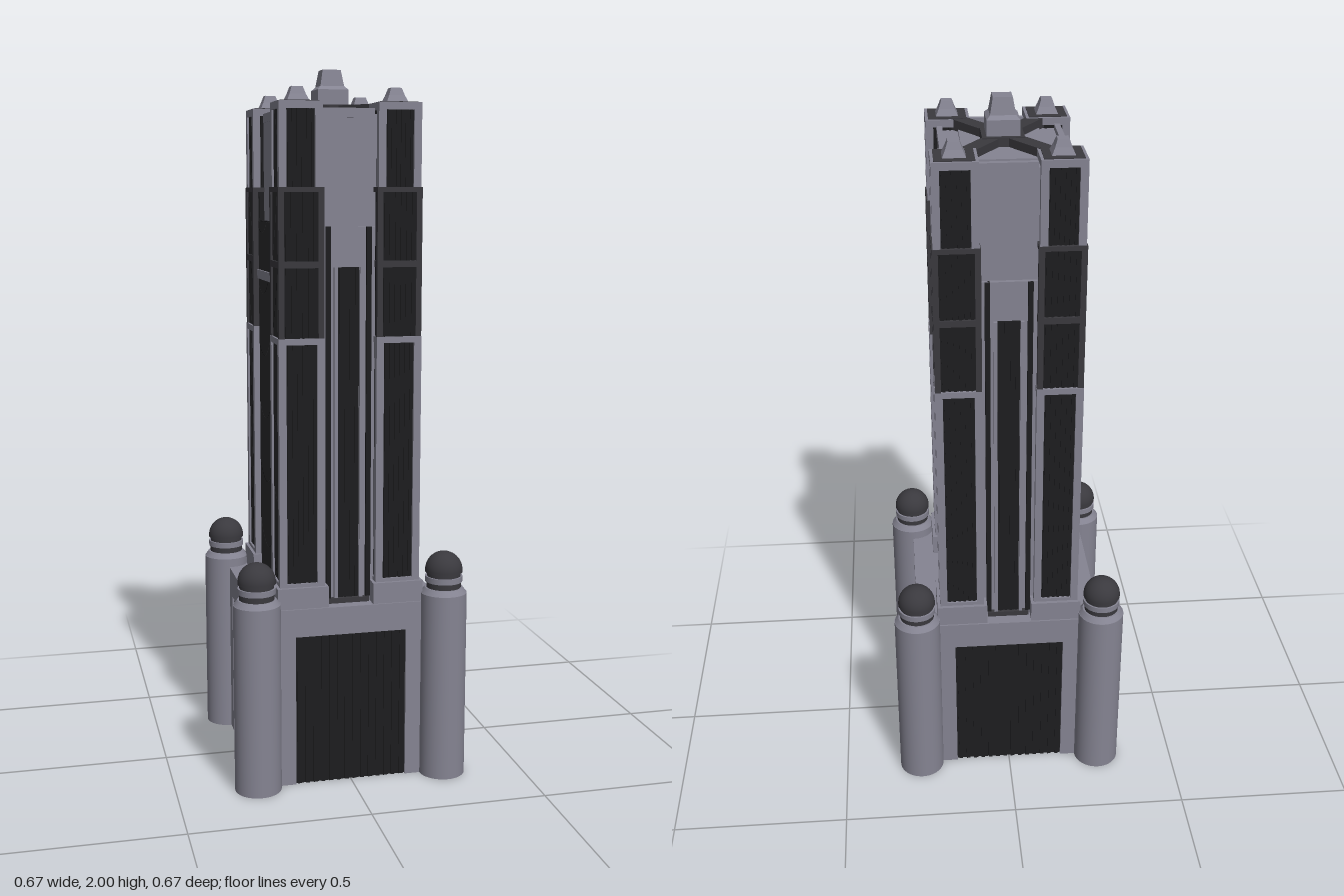
import * as THREE from 'three';

const stone = new THREE.MeshStandardMaterial({ color: 0x858492 });
const dark = new THREE.MeshStandardMaterial({ color: 0x3a393e });
const black = new THREE.MeshStandardMaterial({ color: 0x1d1d1f });
const smoothDark = new THREE.MeshStandardMaterial({ color: 0x3a393e });

function add(parent, name, geometry, material, x = 0, y = 0, z = 0) {
  const mesh = new THREE.Mesh(geometry, material);
  mesh.name = name;
  mesh.position.set(x, y, z);
  parent.add(mesh);
  return mesh;
}

// Box given by its centre in plan and its bottom and top heights
function block(parent, name, mat, w, d, y0, y1, x = 0, z = 0) {
  return add(parent, name, new THREE.BoxGeometry(w, y1 - y0, d), mat, x, (y0 + y1) / 2, z);
}

// Square frustum, half widths r0 (bottom) and r1 (top)
function frustum(parent, name, mat, r0, r1, y0, y1, x = 0, z = 0) {
  const g = new THREE.CylinderGeometry(r1 * Math.SQRT2, r0 * Math.SQRT2, y1 - y0, 4).toNonIndexed();
  g.rotateY(Math.PI / 4);
  g.computeVertexNormals();
  return add(parent, name, g, mat, x, (y0 + y1) / 2, z);
}

// Vertical ribs on a wall facing +z, centred on x = 0
function ribs(parent, w, y0, y1, z, n) {
  const pitch = w / n;
  for (let i = 0; i < n; i++)
    block(parent, 'rib', black, pitch * 0.5, 0.006, y0, y1, (i + 0.5) * pitch - w / 2, z);
}

// Ribbed dark shaft inside corner posts and rails
function framedTier(parent, name, mat, w, d, y0, y1, x, z, post, rails) {
  const tier = new THREE.Group();
  tier.name = name;
  tier.position.set(x, 0, z);
  parent.add(tier);
  block(tier, 'darkInfill', black, w - 0.016, d - 0.016, y0, y1 - 0.004);
  for (const sx of [-1, 1]) for (const sz of [-1, 1])
    block(tier, 'cornerPost', mat, post, post, y0, y1, sx * (w - post) / 2, sz * (d - post) / 2);
  for (const [a, b] of rails) {
    for (const s of [-1, 1]) {
      block(tier, 'rail', mat, w - 2 * post, 0.014, a, b, 0, s * (d / 2 - 0.007));
      block(tier, 'rail', mat, 0.014, d - 2 * post, a, b, s * (w / 2 - 0.007), 0);
    }
  }
  for (let k = 0; k < 4; k++) {
    const side = new THREE.Group();
    side.rotation.y = k * Math.PI / 2;
    side.name = 'ribbedSide';
    tier.add(side);
    const wide = k % 2 ? d : w, deep = k % 2 ? w : d;
    ribs(side, wide - 2 * post, y0, y1 - 0.006, deep / 2 - 0.008, 6);
  }
}

function createBase() {
  const base = new THREE.Group();
  base.name = 'base';
  block(base, 'darkCore', black, 0.522, 0.522, 0, 0.44);
  block(base, 'lintelSlab', stone, 0.54, 0.54, 0.435, 0.515);
  for (const sx of [-1, 1]) for (const sz of [-1, 1])
    block(base, 'cornerBlock', stone, 0.11, 0.11, 0, 0.435, sx * 0.215, sz * 0.215);
  for (let k = 0; k < 4; k++) {
    const side = new THREE.Group();
    side.name = 'ribbedPanel';
    side.rotation.y = k * Math.PI / 2;
    base.add(side);
    ribs(side, 0.32, 0, 0.435, 0.262, 14);
  }
  return base;
}

// Round corner column with neck, ring and dome
function createColumn(x, z) {
  const column = new THREE.Group();
  column.name = 'cornerColumn';
  column.position.set(x, 0, z);
  add(column, 'shaft', new THREE.CylinderGeometry(0.066, 0.066, 0.54, 40), stone, 0, 0.27, 0);
  add(column, 'shoulder', new THREE.CylinderGeometry(0.054, 0.065, 0.015, 40), stone, 0, 0.5475, 0);
  add(column, 'lowerNeck', new THREE.CylinderGeometry(0.049, 0.049, 0.02, 40), dark, 0, 0.563, 0);
  add(column, 'ring', new THREE.CylinderGeometry(0.053, 0.053, 0.016, 40), stone, 0, 0.58, 0);
  add(column, 'upperNeck', new THREE.CylinderGeometry(0.048, 0.048, 0.015, 40), dark, 0, 0.595, 0);
  const dome = new THREE.SphereGeometry(0.053, 40, 14, 0, Math.PI * 2, 0, Math.PI / 2);
  add(column, 'dome', dome, smoothDark, 0, 0.605, 0);
  add(column, 'domeBase', new THREE.CylinderGeometry(0.053, 0.053, 0.006, 40), dark, 0, 0.602, 0);
  return column;
}

// Corner pier in three tiers, with roof and finial
function createPier(sx, sz) {
  const pier = new THREE.Group();
  pier.name = 'cornerPier';
  const x = sx * 0.137, z = sz * 0.191;
  block(pier, 'plinth', stone, 0.145, 0.148, 0.515, 0.575, x, z);
  framedTier(pier, 'lowerTier', stone, 0.128, 0.128, 0.575, 1.27, x, z, 0.021, [[1.253, 1.27], [0.575, 0.585]]);
  framedTier(pier, 'middleTier', dark, 0.126, 0.126, 1.27, 1.675, x, z, 0.016, [[1.46, 1.478], [1.662, 1.675]]);
  framedTier(pier, 'upperTier', stone, 0.12, 0.12, 1.675, 1.9, x, z, 0.021, [[1.88, 1.9]]);
  block(pier, 'pierRoof', dark, 0.104, 0.104, 1.88, 1.902, x, z);
  frustum(pier, 'finialFoot', stone, 0.031, 0.022, 1.9, 1.92, x, z);
  frustum(pier, 'finialTip', stone, 0.022, 0.015, 1.92, 1.94, x, z);
  return pier;
}

function createShaft() {
  const shaft = new THREE.Group();
  shaft.name = 'towerShaft';
  block(shaft, 'core', stone, 0.33, 0.42, 0.515, 1.87);
  block(shaft, 'roofStep', stone, 0.22, 0.32, 1.87, 1.878);
  for (const s of [-1, 1]) {
    // Front and back: wall, central slot and two slim fins
    const face = new THREE.Group();
    face.name = s > 0 ? 'frontFace' : 'backFace';
    face.rotation.y = s > 0 ? 0 : Math.PI;
    shaft.add(face);
    block(face, 'wall', stone, 0.15, 0.02, 0.515, 1.57, 0, 0.212);
    block(face, 'sill', dark, 0.12, 0.03, 0.515, 0.53, 0, 0.22);
    block(face, 'slot', black, 0.06, 0.012, 0.53, 1.46, 0, 0.219);
    ribs(face, 0.06, 0.53, 1.458, 0.224, 4);
    for (const t of [-1, 1]) {
      block(face, 'darkFin', black, 0.014, 0.018, 0.53, 1.57, t * 0.057, 0.222);
      block(face, 'slimMullion', stone, 0.01, 0.022, 0.53, 1.46, t * 0.036, 0.222);
    }
    block(face, 'parapet', stone, 0.15, 0.016, 1.86, 1.885, 0, 0.206);

    // Left and right: tall ribbed window wall with a cross bar
    const flank = new THREE.Group();
    flank.name = s > 0 ? 'leftFace' : 'rightFace';
    flank.rotation.y = s * Math.PI / 2;
    shaft.add(flank);
    block(flank, 'windowWall', black, 0.256, 0.02, 0.53, 1.58, 0, 0.17);
    ribs(flank, 0.256, 0.53, 1.578, 0.181, 16);
    block(flank, 'crossBar', stone, 0.256, 0.012, 1.412, 1.438, 0, 0.183);
    block(flank, 'sill', stone, 0.256, 0.03, 0.515, 0.53, 0, 0.176);
    block(flank, 'parapet', stone, 0.256, 0.016, 1.86, 1.885, 0, 0.16);
  }
  return shaft;
}

// Crossed roof beams and the central finial
function createCrown() {
  const crown = new THREE.Group();
  crown.name = 'crown';
  const length = 2 * Math.hypot(0.137, 0.191);
  for (const s of [-1, 1]) {
    const beam = block(crown, 'roofBeam', dark, 0.044, length, 1.872, 1.9 + s * 0.0005);
    beam.rotation.y = s * Math.atan2(0.137, 0.191);
  }
  block(crown, 'centrePlate', dark, 0.112, 0.112, 1.87, 1.903);
  block(crown, 'finialBlock', stone, 0.088, 0.088, 1.903, 1.945);
  frustum(crown, 'finialCollar', stone, 0.044, 0.034, 1.945, 1.955);
  frustum(crown, 'finialTop', stone, 0.034, 0.026, 1.955, 2.0);
  return crown;
}

export function createModel() {
  const model = new THREE.Group();
  model.name = 'tower';
  model.add(createBase(), createShaft(), createCrown());
  for (const sx of [-1, 1]) for (const sz of [-1, 1])
    model.add(createColumn(sx * 0.27, sz * 0.27), createPier(sx, sz));
  return model;
}
